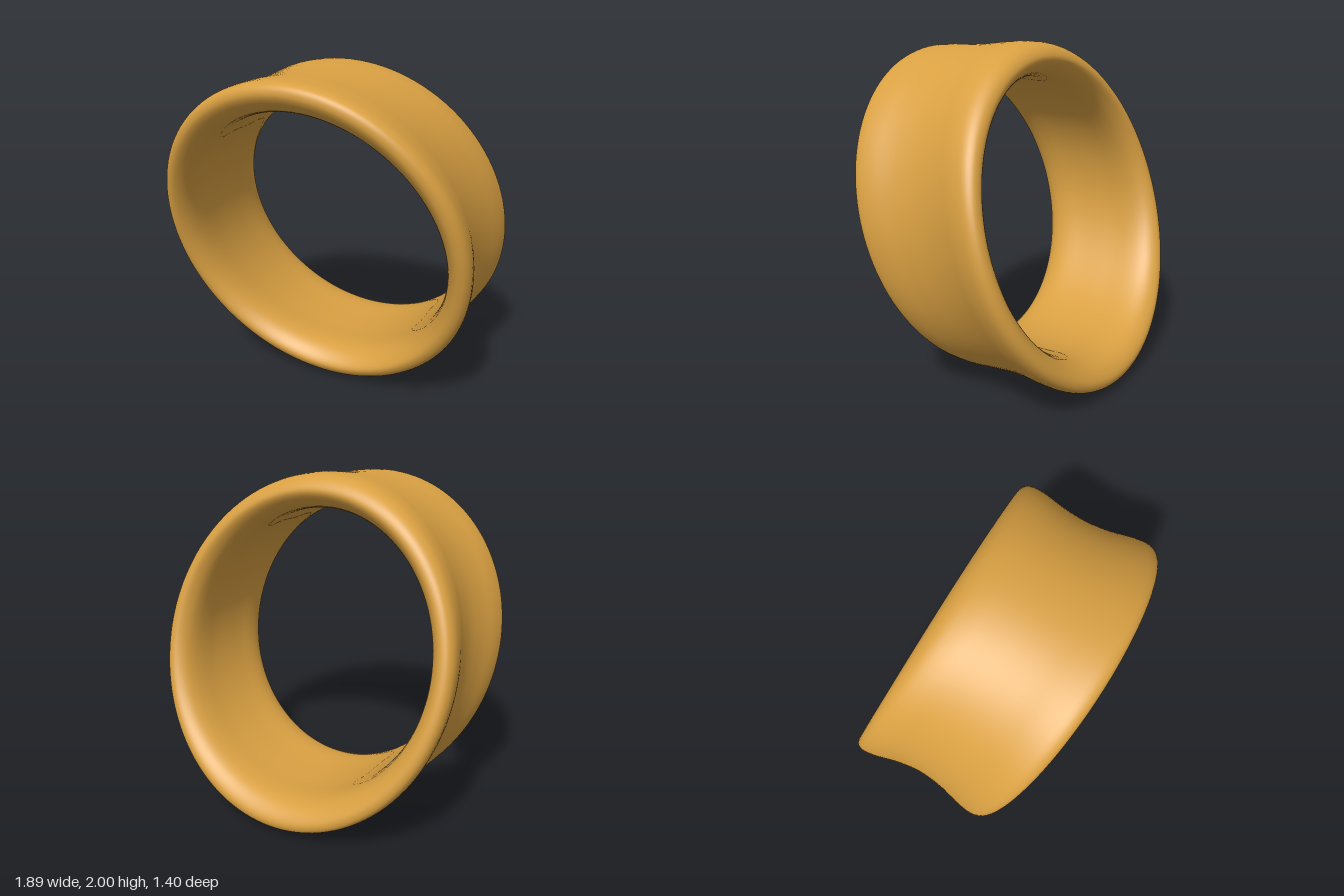
import * as THREE from 'three';

const AROUND = 128; // steps round the ring
const ACROSS = 72; // steps round the wall section
const LEAN = 0.255; // how far the top leans forward and the bottom back

// Wall sections as [distance along z, radius]: bore, front lip, outside, back lip
const bore = [[-0.3, 0.8], [-0.1, 0.8], [0.1, 0.8], [0.3, 0.8]];

// Waisted section at the left and right of the ring
const sideFront = [[0.385, 0.825], [0.432, 0.875], [0.425, 0.92], [0.385, 0.943], [0.3, 0.937], [0.15, 0.9]];
const sideSection = [
  ...bore, ...sideFront, [0, 0.884],
  ...sideFront.map(([z, r]) => [-z, r]).reverse(),
];

// Thicker section at the top, fullest toward the back
const topSection = [
  ...bore,
  [0.39, 0.835], [0.443, 0.9], [0.437, 0.945], [0.4, 0.968], [0.3, 0.977], [0.15, 0.977],
  [0, 0.983],
  [-0.15, 0.995], [-0.26, 1.0], [-0.36, 0.988], [-0.42, 0.95], [-0.443, 0.9], [-0.39, 0.835],
];

// The bottom section is the top one turned front to back
const count = topSection.length;
const bottomSection = topSection.map((_, k) => {
  const [z, r] = topSection[(3 - k + count) % count];
  return [-z, r];
});

function ringGeometry() {
  const positions = [];
  const index = [];
  const p = new THREE.Vector3();
  for (let i = 0; i < AROUND; i++) {
    const angle = (i / AROUND) * Math.PI * 2;
    const s = Math.sin(angle);
    const c = Math.cos(angle);
    // Blend the three sections for this angle
    const top = Math.max(0, c) ** 2;
    const bottom = Math.max(0, -c) ** 2;
    const blend = (k, n) =>
      sideSection[k][n] * s * s + topSection[k][n] * top + bottomSection[k][n] * bottom;
    const section = new THREE.CatmullRomCurve3(
      sideSection.map((_, k) => new THREE.Vector3(blend(k, 0), blend(k, 1), 0)), true);
    for (let j = 0; j < ACROSS; j++) {
      section.getPoint(j / ACROSS, p);
      positions.push(p.y * s, 1 + p.y * c, p.x + LEAN * c);
      const i2 = (i + 1) % AROUND;
      const j2 = (j + 1) % ACROSS;
      const a = i * ACROSS + j;
      const b = i2 * ACROSS + j;
      const d = i * ACROSS + j2;
      index.push(a, b, d, b, i2 * ACROSS + j2, d);
    }
  }
  const geometry = new THREE.BufferGeometry();
  geometry.setAttribute('position', new THREE.Float32BufferAttribute(positions, 3));
  geometry.setIndex(index);
  geometry.computeVertexNormals();
  return geometry;
}

export function createModel() {
  const gold = new THREE.MeshStandardMaterial({ color: 0xd9a042 });
  gold.name = 'gold';
  const ring = new THREE.Mesh(ringGeometry(), gold);
  ring.name = 'ringBand';
  const model = new THREE.Group();
  model.name = 'ring';
  model.add(ring);
  return model;
}
